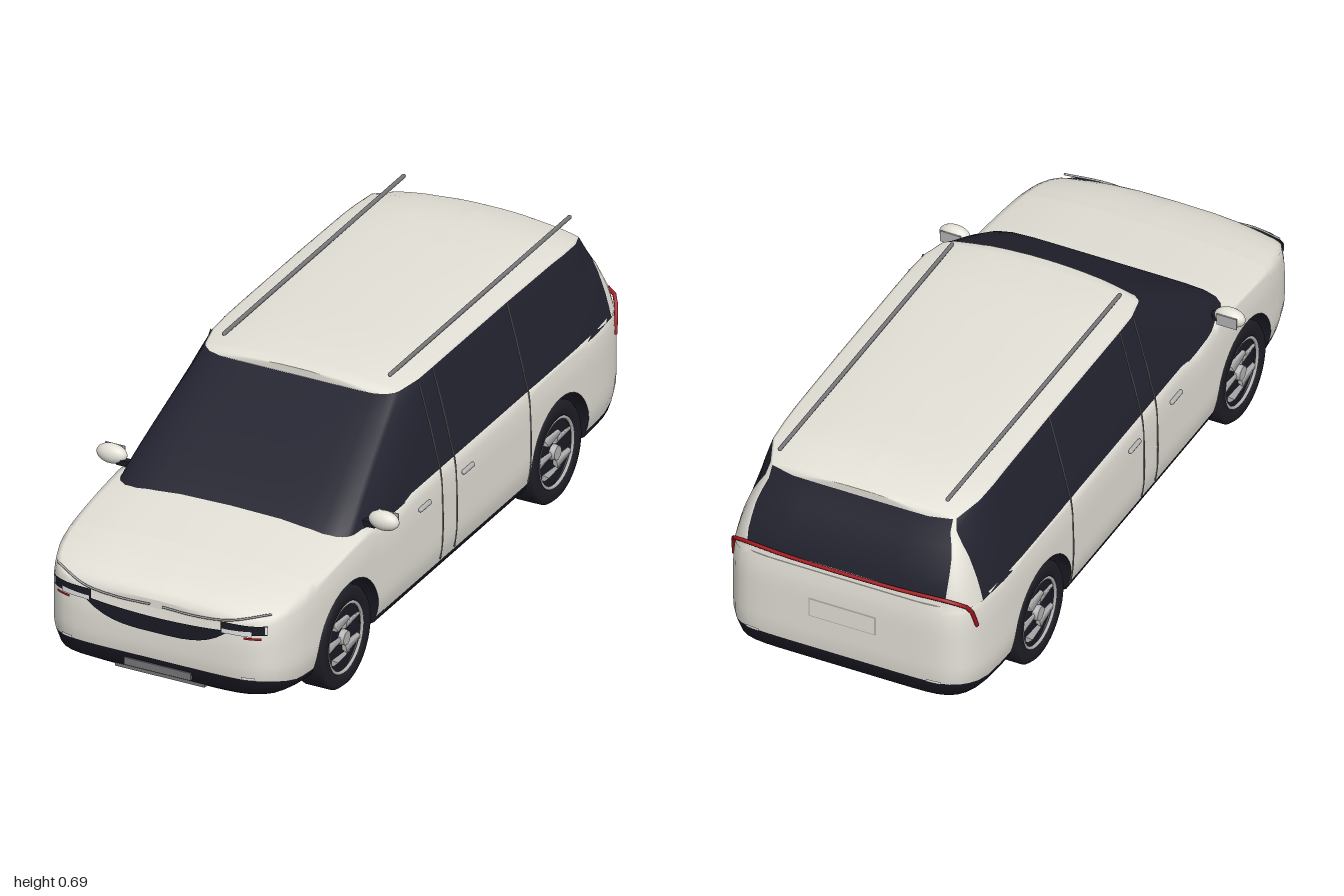
import * as THREE from 'three';

const mat = (name, color, side = THREE.FrontSide) => {
  const m = new THREE.MeshStandardMaterial({ color, side });
  m.name = name;
  return m;
};
const lerp = THREE.MathUtils.lerp, smooth = THREE.MathUtils.smoothstep;
// Superellipse: other unit coordinate for a given one
const sup = (f, n) => Math.pow(Math.max(0, 1 - Math.pow(Math.abs(f), n)), 1 / n);
// Piecewise linear curve through [t, value] pairs in rising t
const along = (pts, t) => {
  if (t <= pts[0][0]) return pts[0][1];
  for (let i = 1; i < pts.length; i++) {
    const [a, va] = pts[i - 1], [b, vb] = pts[i];
    if (t <= b) return lerp(va, vb, (t - a) / (b - a));
  }
  return pts[pts.length - 1][1];
};

const W = 0.385, ARCH_R = 0.168, HUB_Y = 0.145, AXLES = [0.625, -0.572];
const hoodY = z => along([[0.3, 0.41], [0.5, 0.435], [0.6, 0.426], [0.8, 0.403], [0.9, 0.385], [0.96, 0.368], [0.99, 0.352], [1, 0.335]], z);
const edgeY = z => z < 0.3 ? 0.41 : Math.min(0.41, hoodY(z) - 0.025);
const roofY = z => along([[-0.9, 0.645], [-0.8, 0.672], [-0.65, 0.681], [-0.4, 0.685], [0, 0.686], [0.15, 0.682], [0.21, 0.673]], z);
const backZ = s => along([[0, -0.992], [0.3, -0.98], [0.6, -0.95], [0.85, -0.915], [1, -0.895]], s);
const cabinW = s => 0.378 - 0.065 * Math.pow(s, 1.1);
const endZ = (x, dir) => dir * sup(x / W, dir > 0 ? 8 : 10);

// Closed skin over rings of points; matOf(row, column) picks the material slot
function skin(name, rings, materials, matOf = () => 0) {
  const n = rings[0].length, lists = materials.map(() => []);
  for (let r = 0; r < rings.length - 1; r++)
    for (let c = 0; c < n; c++) {
      const d = (c + 1) % n, a = r * n + c, b = r * n + d;
      lists[matOf(r, c)].push(a, b, b + n, a, b + n, a + n);
    }
  const g = new THREE.BufferGeometry();
  g.setAttribute('position', new THREE.Float32BufferAttribute(rings.flat(2), 3));
  g.setIndex(lists.flat());
  let start = 0;
  lists.forEach((l, i) => { g.addGroup(start, l.length, i); start += l.length; });
  g.computeVertexNormals();
  const m = new THREE.Mesh(g, materials);
  m.name = name;
  return m;
}
// Half ring running front centre -> +x side -> rear centre, mirrored to a full ring
const mirrorRing = half => [...half, ...half.slice(1, -1).reverse().map(p => [-p[0], p[1], p[2]])];

// Plan columns of the lower body, with the wheel arches cut into its lower edge
function bodyColumns() {
  const fr = [0, 0.15, 0.3, 0.42, 0.54, 0.65, 0.74, 0.81, 0.87, 0.915, 0.95];
  const cols = fr.map(f => ({ x: f * W, z: sup(f, 8) }));
  const side = (z, arch) => cols.push({ x: W * sup(z, z > 0 ? 8 : 10), z, arch });
  [0.84].forEach(z => side(z));
  AXLES.forEach((cz, i) => {
    side(cz + ARCH_R);
    for (let k = 0; k <= 20; k++) {
      const t = Math.PI * k / 20;
      side(cz + ARCH_R * Math.cos(t), HUB_Y + ARCH_R * Math.sin(t));
    }
    side(cz - ARCH_R);
    (i ? [-0.8, -0.86] : [0.36, 0.26, 0.1, -0.1, -0.3]).forEach(z => side(z));
  });
  fr.slice().reverse().forEach(f => cols.push({ x: f * W, z: -sup(f, 10) }));
  return cols;
}

function createBody(paint, trim) {
  const cols = bodyColumns();
  const low = c => c.arch ?? 0.13 + 0.03 * smooth(Math.abs(c.z), 0.85, 1);
  const put = (c, y, d) => [c.x * (1 - d / W), y, c.z - Math.sign(c.z) * d * smooth(Math.abs(c.z), 0.85, 1)];
  const inset = (y, top) => 0.012 * Math.max(0, (0.2 - y) / 0.07) ** 2 + 0.008 * Math.max(0, 1 - (top - y) / 0.08) ** 2;
  const ring = f => mirrorRing(cols.map(f));
  const upper = [], g = new THREE.Group();
  for (let i = 0; i <= 9; i++)
    upper.push(ring(c => {
      const top = edgeY(c.z), y = lerp(low(c), top, i / 9);
      return put(c, y, inset(y, top));
    }));
  // Hood and deck close towards the centre line
  for (const u of [0.04, 0.1, 0.2, 0.35, 0.6, 1])
    upper.push(ring(c => {
      const top = edgeY(c.z), p = put(c, top, 0.008);
      return [p[0] * (1 - u), top + (hoodY(c.z) - top) * (1 - (1 - u) ** 3), p[2]];
    }));
  // Dark skirt, wheel wells and floor
  const lower = [
    ring(c => [0, 0.083, put(c, 0, 0.07)[2]]),
    ring(c => put(c, 0.085, c.arch ? 0.13 : 0.06)),
    ring(c => c.arch ? put(c, c.arch, 0.13) : put(c, 0.112, 0.018)),
    ring(c => put(c, low(c), inset(low(c), edgeY(c.z)))),
  ];
  g.add(skin('bodyShell', upper, [paint]), skin('underbody', lower, [trim]));
  g.name = 'body';
  return g;
}

function createCabin(paint, glass) {
  const SIDE = 14, FR = [0, 0.2, 0.4, 0.6, 0.75, 0.85, 0.91], CORNER = 5;
  const plan = s => {
    const zf = 0.61 - 0.4 * Math.pow(s, 1.15), zb = backZ(s), w = cabinW(s);
    const mid = (zf + zb) / 2, h = (zf - zb) / 2, out = [];
    FR.forEach(f => out.push([f * w, mid + h * sup(f, 10)]));
    const z0 = mid + 0.93 * h, z1 = Math.max(-0.895, mid - 0.965 * h);
    for (let k = 0; k <= SIDE; k++) {
      const z = lerp(z0, z1, k / SIDE);
      out.push([w * sup((z - mid) / h, 10), z]);
    }
    const fs = sup((z1 - mid) / h, 10), edge = lerp(0.8, 0.97, s);
    for (let m = 1; m <= CORNER; m++) {
      const f = fs * lerp(1, edge, m / CORNER);
      out.push([f * w, mid - h * sup(f, 10)]);
    }
    [0.75, 0.5, 0.25, 0].forEach(k => out.push([fs * edge * k * w, mid - h * sup(fs * edge * k, 10)]));
    return out;
  };
  const rows = [0, 0.15, 0.3, 0.45, 0.6, 0.75, 0.88, 1];
  const rings = rows.map(s => mirrorRing(plan(s).map(([x, z]) => [x, lerp(0.4, roofY(z) - 0.022, s), z])));
  const glassRows = rows.length - 1;
  for (const u of [0.02, 0.06, 0.15, 0.3, 0.5, 0.75, 1])
    rings.push(mirrorRing(plan(1).map(([x, z]) => [x * (1 - u), roofY(z) - 0.022 * (1 - u) ** 3, z])));
  const n = rings[0].length, rearStart = FR.length + SIDE;
  return skin('cabin', rings, [paint, glass], (r, c) => {
    if (r >= glassRows) return 0;
    const k = Math.min(c, n - 1 - c);
    if (k < rearStart) return 1;
    return k < rearStart + CORNER || r === 0 ? 0 : 1;
  });
}

function createWheel(tyreMat, rimMat, trim) {
  const g = new THREE.Group();
  const add = (name, geo, m) => { const o = new THREE.Mesh(geo, m); o.name = name; g.add(o); return o; };
  const prof = [[0.095, -0.045], [0.135, -0.045], [0.145, -0.034], [0.145, 0.034], [0.135, 0.045], [0.104, 0.045], [0.098, 0.03]];
  add('tyre', new THREE.LatheGeometry(prof.map(p => new THREE.Vector2(...p)), 40), tyreMat);
  add('wheelDisc', new THREE.CylinderGeometry(0.1, 0.1, 0.06, 32), trim);
  add('rimRing', new THREE.TorusGeometry(0.098, 0.005, 8, 40), rimMat).rotation.x = Math.PI / 2;
  g.children[2].position.y = 0.039;
  add('hub', new THREE.CylinderGeometry(0.02, 0.024, 0.02, 20), rimMat).position.y = 0.036;
  for (let i = 0; i < 5; i++) {
    const a = i * Math.PI * 2 / 5;
    const s = add('spoke', new THREE.CylinderGeometry(0.018, 0.009, 0.085, 4), rimMat);
    s.scale.z = 0.5;
    s.rotation.set(Math.PI / 2, 0, a, 'ZXY');
    s.rotation.set(Math.PI / 2, 0, -a);
    s.position.set(Math.sin(a) * 0.055, 0.034, Math.cos(a) * 0.055);
  }
  g.rotation.z = -Math.PI / 2;
  return g;
}

export function createModel() {
  const paint = mat('paint', 0xe4e1d8), glass = mat('glass', 0x232330), trim = mat('trim', 0x1b1b25, THREE.DoubleSide);
  const tyre = mat('tyre', 0x1e1e26, THREE.DoubleSide), silver = mat('silver', 0xb4b4b4), grey = mat('grey', 0x77777a);
  const red = mat('red', 0xa3161e), lamp = mat('lamp', 0xe8e8ea, THREE.DoubleSide);
  const car = new THREE.Group();
  car.name = 'van';
  const add = (name, geo, m, x = 0, y = 0, z = 0) => {
    const o = new THREE.Mesh(geo, m);
    o.name = name;
    o.position.set(x, y, z);
    car.add(o);
    return o;
  };
  const box = (name, m, w, h, d, x, y, z) => add(name, new THREE.BoxGeometry(w, h, d), m, x, y, z);
  const tube = (name, pts, r, m) =>
    add(name, new THREE.TubeGeometry(new THREE.CatmullRomCurve3(pts.map(p => new THREE.Vector3(...p))), 32, r, 6), m);
  // Thin strip that follows the curved nose or tail
  const strip = (name, dir, x0, x1, lo, hi, m, lift = 0.004) => {
    const g = new THREE.PlaneGeometry(1, 1, 16, 1), p = g.attributes.position;
    for (let i = 0; i < p.count; i++) {
      const t = p.getX(i) + 0.5, x = dir * lerp(x0, x1, t);
      p.setXYZ(i, x, p.getY(i) > 0 ? hi(x) : lo(x), endZ(x, dir) + dir * lift);
    }
    g.computeVertexNormals();
    return add(name, g, m);
  };

  car.add(createBody(paint, trim), createCabin(paint, glass));

  // Nose and tail details on the centre line
  strip('grille', 1, -0.21, 0.21, x => 0.244 + 0.05 * Math.abs(x / 0.21) ** 3.5, x => 0.29 + 0.012 * (x / 0.21) ** 2, trim);
  strip('rearPanel', -1, -0.1, 0.1, () => 0.265, () => 0.325, silver, 0.002);
  strip('rearPanelFace', -1, -0.096, 0.096, () => 0.269, () => 0.321, paint, 0.004);
  box('frontPlate', grey, 0.2, 0.022, 0.02, 0, 0.131, 0.985);
  box('frontLowerBar', grey, 0.27, 0.01, 0.03, 0, 0.106, 0.965);
  for (const d of [1, -1]) box('skidPlate', grey, 0.27, 0.01, 0.08, 0, 0.083, d * 0.87);
  tube('tailLight', [[-0.362, 0.335], [-0.352, 0.4], [-0.325, 0.43], [-0.15, 0.437], [0.15, 0.437], [0.325, 0.43], [0.352, 0.4], [0.362, 0.335]]
    .map(([x, y]) => [x, y, endZ(x, -1) + 0.002]), 0.006, red);

  for (const s of [1, -1]) {
    // Lamps and brightwork
    const span = (a, b) => s > 0 ? [a, b] : [-b, -a];
    strip('headlampHousing', 1, ...span(0.195, 0.322), () => 0.3, () => 0.328, trim, 0.005);
    strip('headlamp', 1, ...span(0.2, 0.285), () => 0.296, x => 0.308 + 0.06 * Math.max(0, Math.abs(x) - 0.22), lamp, 0.007);
    strip('headlampEdge', 1, ...span(0.316, 0.322), () => 0.303, () => 0.326, lamp, 0.007);
    strip('redAccent', 1, ...span(0.262, 0.308), () => 0.286, () => 0.293, red, 0.005);
    strip('frontFogLamp', 1, ...span(0.255, 0.29), () => 0.163, () => 0.171, lamp, 0.003);
    strip('rearReflector', -1, ...span(0.25, 0.29), () => 0.163, () => 0.171, lamp, 0.003);
    tube('hoodTrim', [[0.018, 0.324, 1.0], [0.12, 0.322, 1.0], [0.22, 0.332, 0.995], [0.323, 0.355, 0.952]].map(p => [s * p[0], p[1], p[2]]), 0.003, silver);

    // Roof rails
    const rail = add('roofRail', new THREE.CapsuleGeometry(0.006, 1.02, 4, 8), grey, s * 0.25, 0.683, -0.365);
    rail.rotation.x = Math.PI / 2;

    // Mirrors
    add('mirror', new THREE.SphereGeometry(1, 24, 16), paint, s * 0.41, 0.44, 0.48).scale.set(0.045, 0.028, 0.025);
    box('mirrorGlass', silver, 0.06, 0.034, 0.004, s * 0.412, 0.44, 0.457);
    box('mirrorFoot', trim, 0.04, 0.016, 0.02, s * 0.37, 0.425, 0.485);

    // Door seams and handles
    for (const z of [0.1, 0.02, -0.4]) {
      const pts = [[0.378, 0.14], [0.385, 0.2], [0.385, 0.32], [0.379, 0.405]];
      for (const t of [0.25, 0.5, 0.75, 1]) pts.push([cabinW(t), lerp(0.4, roofY(z) - 0.022, t)]);
      tube('doorSeam', pts.map(([x, y]) => [s * x, y, z]), 0.0022, grey);
    }
    for (const z of [0.205, -0.04]) {
      const h = add('doorHandle', new THREE.CapsuleGeometry(0.007, 0.05, 4, 8), silver, s * 0.388, 0.35, z);
      h.rotation.x = Math.PI / 2;
    }

    // Wheels
    for (const z of AXLES) {
      const w = new THREE.Group();
      w.name = z > 0 ? 'frontWheel' : 'rearWheel';
      w.add(createWheel(tyre, silver, trim));
      w.position.set(s * 0.33, HUB_Y, z);
      if (s < 0) w.rotation.y = Math.PI;
      car.add(w);
    }
  }
  return car;
}
